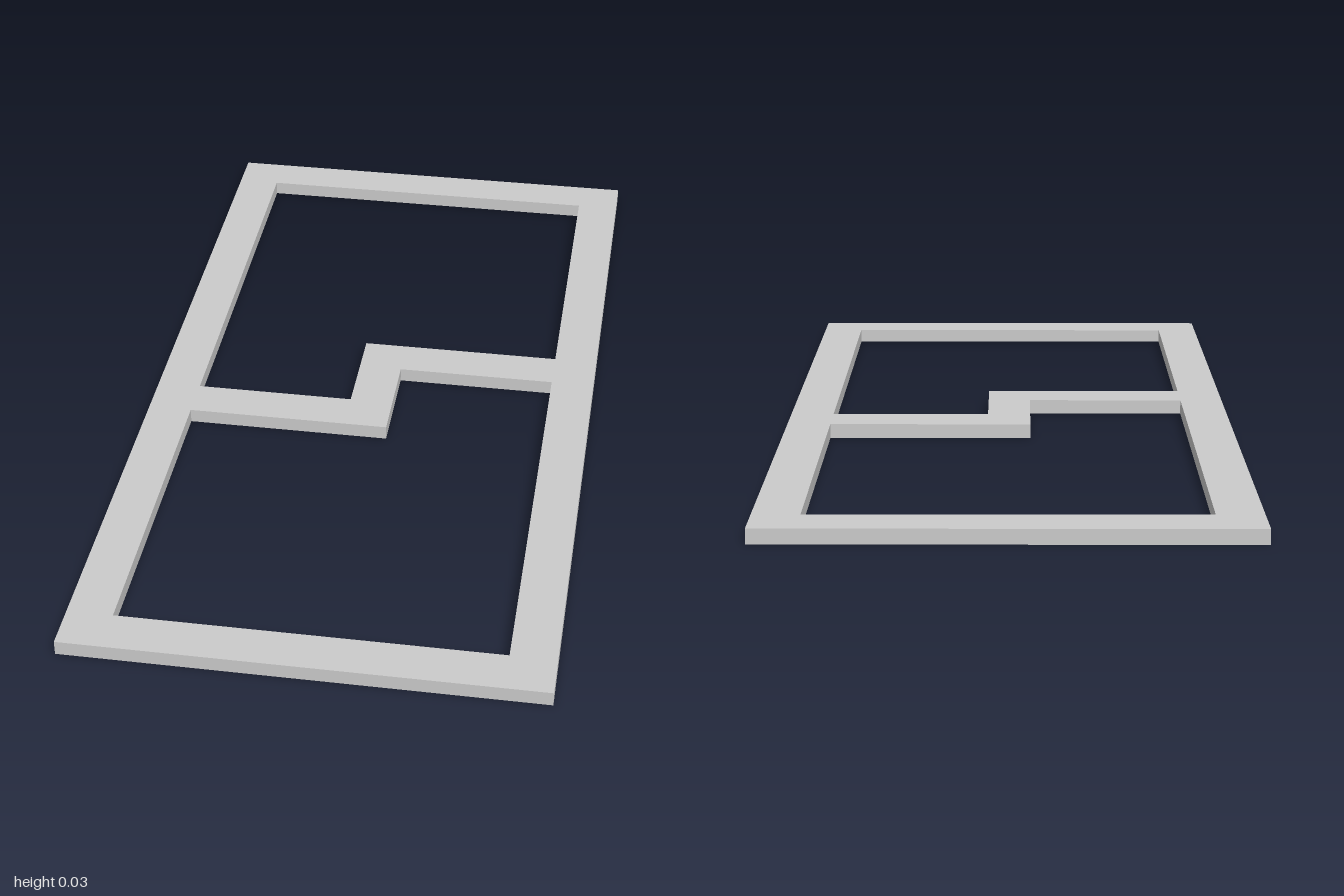
import * as THREE from 'three';

const toPoints = (list) => list.map(([x, y]) => new THREE.Vector2(x, y));

export function createModel() {
  const group = new THREE.Group();
  group.name = 'dividedFrame';

  const height = 0.032;
  const outerX = 0.506, outerZ = 1;
  const innerX = 0.408, innerZ = 0.902;
  const stepX = 0.049, near = 0.07, far = 0.168;

  // Outer rectangle, drawn in plan with y pointing to the back
  const plan = new THREE.Shape(toPoints([
    [-outerX, -outerZ], [outerX, -outerZ], [outerX, outerZ], [-outerX, outerZ],
  ]));

  // Two openings, half a turn apart, leave a stepped divider between them
  const opening = [
    [-innerX, innerZ], [innerX, innerZ], [innerX, far],
    [-stepX, far], [-stepX, -near], [-innerX, -near],
  ];
  for (const s of [1, -1]) {
    plan.holes.push(new THREE.Path(toPoints(opening.map(([x, y]) => [x * s, y * s]))));
  }

  // Flat slab lying on the ground
  const geometry = new THREE.ExtrudeGeometry(plan, { depth: height, bevelEnabled: false });
  geometry.rotateX(-Math.PI / 2);

  const frame = new THREE.Mesh(geometry, new THREE.MeshStandardMaterial({ color: 0xcccccc }));
  frame.name = 'frameWithSteppedDivider';
  group.add(frame);
  return group;
}
